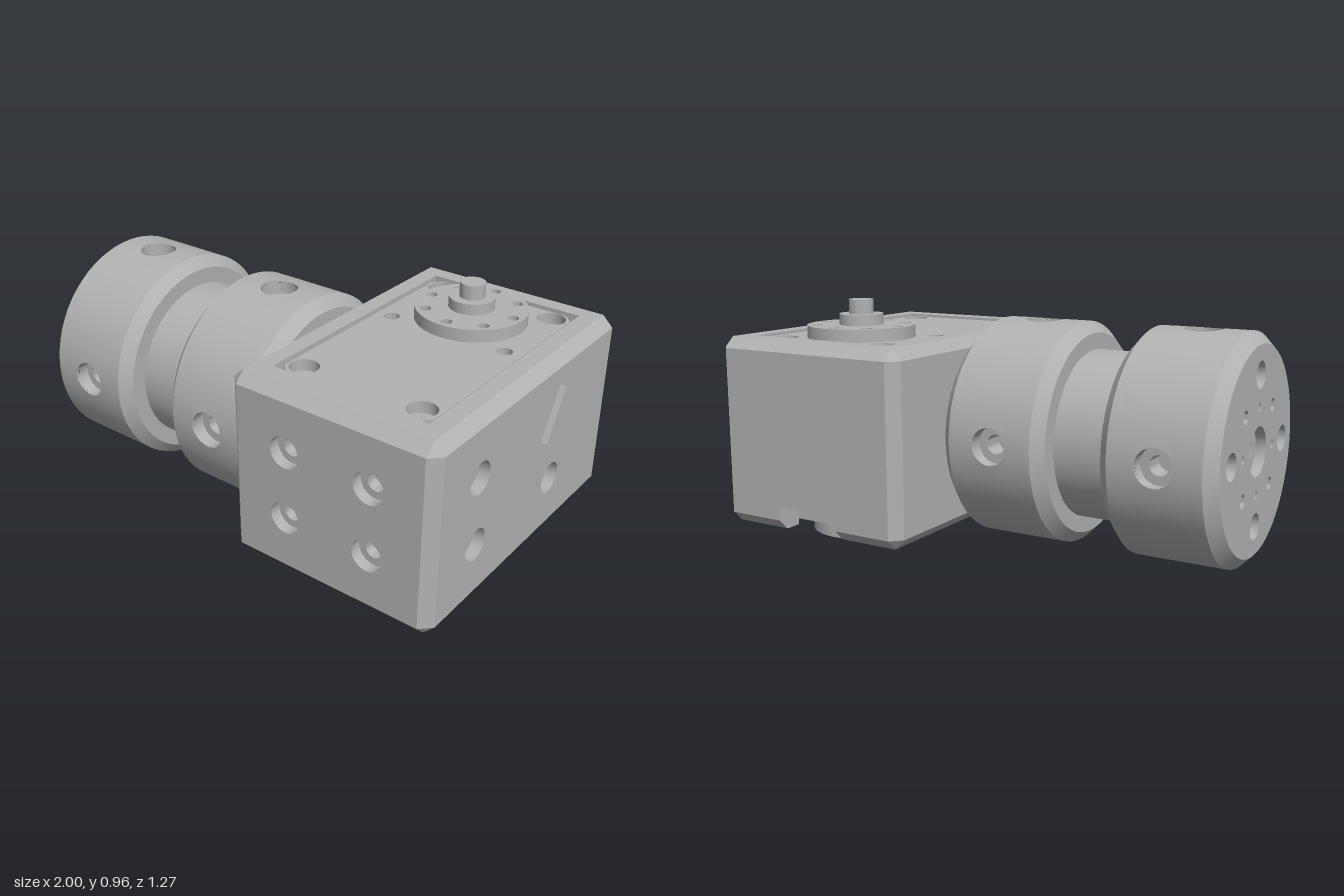
import * as THREE from 'three';
import { toCreasedNormals } from 'three/addons/utils/BufferGeometryUtils.js';

const metal = new THREE.MeshStandardMaterial({ color: 0xb2b2b2 });
metal.name = 'plain grey metal';

function add(parent, name, geometry) {
  const mesh = new THREE.Mesh(geometry, metal);
  mesh.name = name;
  parent.add(mesh);
  return mesh;
}

function circle(u, v, r, n = 24) {
  return Array.from({ length: n }, (_, i) => {
    const a = (i / n) * Math.PI * 2;
    return new THREE.Vector2(u + r * Math.cos(a), v + r * Math.sin(a));
  });
}
const rect = (u0, u1, v0, v1) => [[u0, v0], [u1, v0], [u1, v1], [u0, v1]].map(p => new THREE.Vector2(...p));
const poly = pts => pts.map(p => new THREE.Vector2(...p));

function makeShape(outline, holes = []) {
  const s = new THREE.Shape(outline);
  holes.forEach(h => s.holes.push(new THREE.Path(h)));
  return s;
}

// Flat face perpendicular to an axis; outlines are (z,y), (x,z) or (x,y)
function panel(parent, name, axis, sign, at, outline, holes) {
  const g = new THREE.ShapeGeometry(makeShape(outline, holes));
  const p = g.attributes.position;
  for (let i = 0; i < p.count; i++) {
    const u = p.getX(i), v = p.getY(i);
    p.setXYZ(i, ...[[at, v, u], [u, at, v], [u, v, at]][axis]);
  }
  if (sign !== [-1, -1, 1][axis]) g.setIndex(Array.from(g.index.array).reverse());
  g.computeVertexNormals();
  return add(parent, name, g);
}

// Horizontal slab cut from an (x,z) outline
function slab(parent, name, y0, y1, outline, holes) {
  const g = new THREE.ExtrudeGeometry(makeShape(outline, holes), { depth: y1 - y0, bevelEnabled: false });
  g.rotateX(Math.PI / 2).translate(0, y1, 0);
  return add(parent, name, toCreasedNormals(g, 0.6));
}

function lathe(profile, n) {
  return toCreasedNormals(new THREE.LatheGeometry(poly(profile), n), 0.6);
}

// Stepped screw hole sunk along -dir
function bore(parent, pos, dir, R, d1, r, d2) {
  const m = add(parent, 'screwHole', lathe([[R, 0], [R, -d1], [r, -d1], [r, -d2], [0, -d2]], 24));
  m.position.set(...pos);
  m.quaternion.setFromUnitVectors(new THREE.Vector3(0, 1, 0), new THREE.Vector3(...dir));
}

// Drum wall: four quarter patches, each pierced by a round hole
const R = 0.442, HOLE = 0.073, SEAT = 0.43;
function drumWall(parent, name, cx, w) {
  const pos = [], N = 64, M = 7;
  for (let k = 0; k < 4; k++) {
    const point = (i, j) => {
      const f = (i / N) * Math.PI * 2, c = Math.cos(f), s = Math.sin(f);
      const m = Math.max(Math.abs(c), Math.abs(s));
      const t = Math.max(0, j) / M;
      const a0 = Math.asin(HOLE * c / R), a1 = Math.atan(c / m);
      const x1 = Math.atan(s / m) * 4 / Math.PI * w;
      const a = a0 + (a1 - a0) * t, x = HOLE * s + (x1 - HOLE * s) * t;
      const out = j < 0 ? SEAT : R * Math.cos(a), side = R * Math.sin(a);
      const b = k * Math.PI / 2;
      return [cx + x, out * Math.sin(b) + side * Math.cos(b), out * Math.cos(b) - side * Math.sin(b)];
    };
    for (let i = 0; i < N; i++) for (let j = -1; j < M; j++) {
      const A = point(i, j), B = point(i + 1, j), C = point(i + 1, j + 1), D = point(i, j + 1);
      pos.push(...A, ...B, ...C, ...A, ...C, ...D);
    }
    const d = [0, Math.round(Math.sin(k * Math.PI / 2)), Math.round(Math.cos(k * Math.PI / 2))];
    bore(parent, [cx, d[1] * SEAT, d[2] * SEAT], d, HOLE, 0.045, 0.038, 0.13);
  }
  const g = new THREE.BufferGeometry();
  g.setAttribute('position', new THREE.Float32BufferAttribute(pos, 3));
  add(parent, name, toCreasedNormals(g, 0.6));
}

function buildCoupling() {
  const g = new THREE.Group();
  g.name = 'coupling';
  g.position.set(0, 0.447, 0.083);
  const spin = (name, profile) => add(g, name, lathe(profile, 64).rotateZ(-Math.PI / 2));
  drumWall(g, 'outerDrum', -0.776, 0.179);
  drumWall(g, 'innerDrum', -0.111, 0.176);
  spin('outerChamfer', [[0.397, -1], [R, -0.955]]);
  spin('neck', [[R, -0.597], [0.398, -0.555], [0.333, -0.555], [0.333, -0.33], [0.398, -0.33], [R, -0.287]]);
  spin('innerChamfer', [[R, 0.065], [0.397, 0.11], [0, 0.11]]);
  // End face with a centre hole and three sets of four holes
  const holes = [[0, 0, 0.095, 0.04, 0.05]];
  for (let k = 0; k < 4; k++) {
    const a = k * Math.PI / 2, b = a + Math.PI / 4;
    holes.push([0.285 * Math.cos(a), 0.285 * Math.sin(a), 0.052, 0.07, 0.03]);
    holes.push([0.165 * Math.cos(a), 0.165 * Math.sin(a), 0.016, 0.05, 0.01]);
    holes.push([0.215 * Math.cos(b), 0.215 * Math.sin(b), 0.026, 0.06, 0.015]);
  }
  panel(g, 'endFace', 0, -1, -1, circle(0, 0, 0.397, 64), holes.map(h => circle(h[0], h[1], h[2])));
  holes.forEach(([z, y, r, d, r2]) => bore(g, [-1, y, z], [-1, 0, 0], r, d, r2, d + 0.06));
  return g;
}

function buildHousing() {
  const g = new THREE.Group();
  g.name = 'housing';
  const lo = [0.11, 0.07, -0.635], hi = [0.975, 0.825, 0.635], c = 0.043;
  const a = lo.map(v => v + c), b = hi.map(v => v - c);
  const [x0, x1, z0, z1] = [0.22, 0.865, -0.525, 0.515];   // shaft through the block
  const [n0, n1, nt] = [0.405, 0.685, 0.17];               // notch at the back
  const notched = (l, r, bottom, top) =>
    poly([[l, bottom], [n0, bottom], [n0, nt], [n1, nt], [n1, bottom], [r, bottom], [r, top], [l, top]]);

  // Outer faces
  const front = [0.365, 0.72].flatMap(x => [0.315, 0.585].map(y => [x, y]));
  const side = [[0.355, 0.315], [0.355, 0.585], [-0.18, 0.315]];
  panel(g, 'frontFace', 2, 1, hi[2], rect(a[0], b[0], a[1], b[1]), front.map(p => circle(...p, 0.063)));
  panel(g, 'sideFace', 0, 1, hi[0], rect(a[2], b[2], a[1], b[1]), side.map(p => circle(...p, 0.063)));
  front.forEach(([x, y]) => bore(g, [x, y, hi[2]], [0, 0, 1], 0.063, 0.045, 0.034, 0.1));
  side.forEach(([z, y]) => bore(g, [hi[0], y, z], [1, 0, 0], 0.063, 0.045, 0.034, 0.1));
  panel(g, 'innerSideFace', 0, -1, lo[0], rect(a[2], b[2], a[1], b[1]));
  panel(g, 'backFace', 2, -1, lo[2], notched(a[0], b[0], a[1], b[1]));
  panel(g, 'topFrame', 1, 1, hi[1], rect(a[0], b[0], a[2], b[2]), [rect(x0, x1, z0, z1)]);
  panel(g, 'bottomFrame', 1, -1, lo[1], poly([[a[0], a[2]], [n0, a[2]], [n0, z0], [x0, z0], [x0, z1], [x1, z1],
    [x1, z0], [n1, z0], [n1, a[2]], [b[0], a[2]], [b[0], b[2]], [a[0], b[2]]].slice(0, 3)
    .concat([[x0, z0], [x0, z1], [a[0], z1]])));
  panel(g, 'bottomFrame', 1, -1, lo[1], poly([[n1, a[2]], [b[0], a[2]], [b[0], z1], [x1, z1], [x1, z0], [n1, z0]]));
  panel(g, 'bottomFrame', 1, -1, lo[1], rect(a[0], b[0], z1, b[2]));

  // Shaft walls and notch
  panel(g, 'shaftWall', 0, 1, x0, rect(z0, z1, lo[1], hi[1]));
  panel(g, 'shaftWall', 0, -1, x1, rect(z0, z1, lo[1], hi[1]));
  panel(g, 'shaftWall', 2, -1, z1, rect(x0, x1, lo[1], hi[1]));
  panel(g, 'shaftWall', 2, 1, z0, notched(x0, x1, lo[1], hi[1]));
  const cheek = poly([[lo[2], nt], [lo[2], a[1]], [a[2], lo[1]], [z0, lo[1]], [z0, nt]]);
  panel(g, 'notchSide', 0, 1, n0, cheek);
  panel(g, 'notchSide', 0, -1, n1, cheek);
  panel(g, 'notchRoof', 1, -1, nt, rect(n0, n1, lo[2], z0));

  // Chamfered edges and corners
  const pos = [];
  const tri = (p, q, r, out) => {
    const n = new THREE.Vector3().subVectors(q, p).cross(new THREE.Vector3().subVectors(r, p));
    for (const v of n.dot(out) > 0 ? [p, q, r] : [p, r, q]) pos.push(v.x, v.y, v.z);
  };
  const make = (k, vk, i, vi, j, vj) => new THREE.Vector3().setComponent(k, vk).setComponent(i, vi).setComponent(j, vj);
  for (let k = 0; k < 3; k++) for (const si of [0, 1]) for (const sj of [0, 1]) {
    const i = (k + 1) % 3, j = (k + 2) % 3;
    const fi = [lo, hi][si][i], ii = [a, b][si][i], fj = [lo, hi][sj][j], ij = [a, b][sj][j];
    const out = make(k, 0, i, si * 2 - 1, j, sj * 2 - 1);
    const spans = k === 0 && !si && !sj ? [[a[0], n0], [n1, b[0]]] : [[a[k], b[k]]];
    for (const [s, e] of spans) {
      const p = make(k, s, i, fi, j, ij), q = make(k, e, i, fi, j, ij);
      const r = make(k, e, i, ii, j, fj), t = make(k, s, i, ii, j, fj);
      tri(p, q, r, out);
      tri(p, r, t, out);
    }
    if (k === 0) for (const s of [0, 1]) {
      const fx = [lo, hi][s][0], ix = [a, b][s][0];
      tri(make(0, fx, i, ii, j, ij), make(0, ix, i, fi, j, ij), make(0, ix, i, ii, j, fj), out.clone().setX(s * 2 - 1));
    }
  }
  const cg = new THREE.BufferGeometry();
  cg.setAttribute('position', new THREE.Float32BufferAttribute(pos, 3));
  cg.computeVertexNormals();
  add(g, 'chamfers', cg);

  // Raised triangular mark on the side
  const mark = new THREE.ExtrudeGeometry(makeShape(poly([[0.07, 0.52], [0.295, 0.52], [0.1825, 0.71]])),
    { depth: 0.025, bevelEnabled: false });
  add(g, 'raisedTriangle', mark.rotateY(Math.PI / 2).translate(hi[0], 0, 0));
  return g;
}

function buildActuator() {
  const g = new THREE.Group();
  g.name = 'actuator';
  const [x0, x1, z0, z1, c] = [0.232, 0.853, -0.513, 0.503, 0.035];
  const outline = poly([[x0 + c, z0], [x1 - c, z0], [x1, z0 + c], [x1, z1 - c], [x1 - c, z1], [x0 + c, z1], [x0, z1 - c], [x0, z0 + c]]);
  const backHalf = poly([[x0 + c, z0], [x1 - c, z0], [x1, z0 + c], [x1, 0.06], [0.72, 0.06], [0.68, 0.01], [0.42, 0.01], [0.38, 0.06], [x0, 0.06], [x0, z0 + c]]);
  const at = (zs, r) => zs.flatMap(z => [0.295, 0.785].map(x => circle(x, z, r)));
  const cx = 0.54, cz = -0.272;
  const ring = Array.from({ length: 8 }, (_, i) =>
    circle(cx + 0.178 * Math.cos(i * Math.PI / 4), cz + 0.178 * Math.sin(i * Math.PI / 4), 0.022, 16));

  // Case in layers, so that the screw holes are stepped
  slab(g, 'cover', 0.77, 0.815, outline, [...at([-0.455, 0.435], 0.055), ...at([-0.1], 0.03)]);
  slab(g, 'coverSeat', 0.7, 0.77, outline, at([-0.455, 0.435], 0.03));
  slab(g, 'case', 0.24, 0.7, outline);
  slab(g, 'caseBottom', 0.18, 0.24, outline, at([0.435], 0.05));
  slab(g, 'lowerCase', 0.09, 0.18, backHalf, at([-0.455], 0.05));

  // Output horns above and below
  slab(g, 'topHorn', 0.825, 0.865, circle(cx, cz, 0.216, 48), ring);
  slab(g, 'hornSeat', 0.81, 0.825, circle(cx, cz, 0.216, 48));
  slab(g, 'hub', 0.86, 0.908, circle(cx, cz, 0.088, 32));
  slab(g, 'stem', 0.9, 0.965, circle(cx, cz, 0.049, 32));
  slab(g, 'bottomHorn', 0.03, 0.092, circle(cx, cz, 0.216, 48), [...ring, circle(cx, cz, 0.12, 32)]);
  slab(g, 'bottomHub', 0.045, 0.092, circle(cx, cz, 0.1, 32), [circle(cx, cz, 0.08, 32)]);
  return g;
}

export function createModel() {
  const model = new THREE.Group();
  model.name = 'actuatorWithCoupling';
  model.add(buildCoupling(), buildHousing(), buildActuator());
  return model;
}
